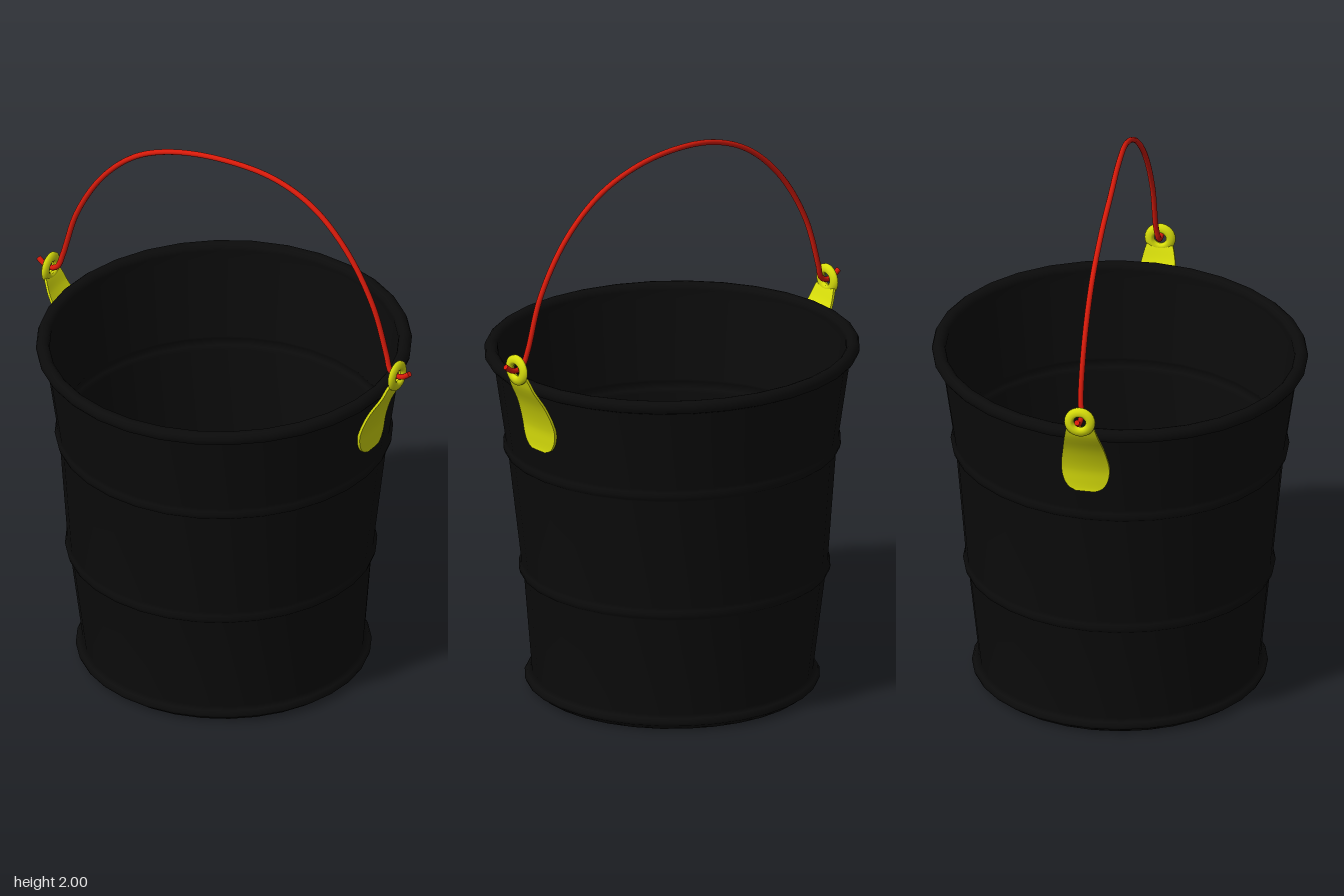
import * as THREE from 'three';

const material = (color) => new THREE.MeshStandardMaterial({ color, side: THREE.DoubleSide });

function part(name, geometry, mat) {
  const mesh = new THREE.Mesh(geometry, mat);
  mesh.name = name;
  return mesh;
}

// Move every vertex of a geometry by a rule
function deform(geometry, rule) {
  const p = geometry.attributes.position, v = new THREE.Vector3();
  for (let i = 0; i < p.count; i++) {
    rule(v.fromBufferAttribute(p, i));
    p.setXYZ(i, v.x, v.y, v.z);
  }
  return geometry;
}

// Slight dents of the hand-made bucket: a tilted rim and an off-centre waist
function dent(v) {
  const bump = Math.exp(-(((v.y - 0.42) / 0.25) ** 2));
  v.x -= 0.012 * bump;
  v.y -= 0.022 * v.z * Math.max(0, v.y - 0.05) / 1.2;
}

// Thin sheet wall with two embossed hoops, a foot bead and a rolled rim
function bucketGeometry() {
  const wall = [[0.495, 0.055]];
  const hoop = (r0, r1, y) => wall.push(
    [r0 - 0.003, y - 0.024], [(r0 + r1) / 2 + 0.009, y - 0.014], [(r0 + r1) / 2 + 0.013, y],
    [(r0 + r1) / 2 + 0.009, y + 0.014], [r1 + 0.003, y + 0.024]);
  hoop(0.535, 0.537, 0.44);
  hoop(0.581, 0.583, 0.9);
  wall.push([0.628, 1.215]);

  const foot = [[0, 0.005], [0.45, 0.005], [0.488, 0], [0.5, 0.012], [0.515, 0.02], [0.52, 0.032], [0.512, 0.046]];
  const rim = [];
  for (let i = 0; i <= 10; i++) {
    const a = -Math.PI * 0.6 + (i / 10) * Math.PI * 1.6;
    rim.push([0.637 + 0.024 * Math.cos(a), 1.248 + 0.024 * Math.sin(a)]);
  }
  const inner = wall.map(([r, y]) => [r - 0.012, y]).reverse();
  const floor = [[0.478, 0.035], [0, 0.03]];
  const profile = [...foot, ...wall, ...rim, ...inner, ...floor].map(([r, y]) => new THREE.Vector2(r, y));
  return deform(new THREE.LatheGeometry(profile, 32), dent);
}

// Curved ear: points hold (distance from axis, height, half width)
function bladeGeometry() {
  const spine = new THREE.CatmullRomCurve3([
    [0.61, 1.01, 0.035], [0.609, 1.022, 0.06], [0.61, 1.05, 0.078], [0.615, 1.1, 0.086],
    [0.645, 1.185, 0.075], [0.688, 1.26, 0.06], [0.703, 1.296, 0.052], [0.71, 1.312, 0.047],
  ].map((p) => new THREE.Vector3(...p)));
  const s = new THREE.Vector3();
  const g = deform(new THREE.BoxGeometry(0.01, 1, 2, 1, 28, 8), (v) => {
    spine.getPoint(v.y + 0.5, s);
    const z = v.z * s.z;
    v.set(s.x + v.x - z * z * 0.8, s.y, z);
  });
  g.computeVertexNormals();
  return g;
}

// Rounded eyelet through which the handle is hooked
function eyeletGeometry() {
  const profile = [[0.021, 0], [0.024, 0.01], [0.033, 0.014], [0.045, 0.011], [0.055, 0.004],
    [0.055, -0.004], [0.045, -0.011], [0.033, -0.014], [0.024, -0.01], [0.021, 0]]
    .reverse().map(([r, y]) => new THREE.Vector2(r, y));
  return new THREE.LatheGeometry(profile, 28).rotateZ(-Math.PI / 2).translate(0.714, 1.335, 0);
}

// Bent wire with a small hook at each end
function handleGeometry() {
  const half = [[0.765, 1.358], [0.738, 1.338], [0.71, 1.333], [0.685, 1.347], [0.667, 1.4],
    [0.61, 1.585], [0.5, 1.77], [0.36, 1.9], [0.2, 1.968]];
  const sway = (x) => (Math.abs(x) > 0.68 ? 0 : -0.006 - 0.016 * Math.sin(x * 5) * (1 - (x / 0.7) ** 2));
  const points = [
    ...half.map(([x, y]) => [-x, y]), [0, 1.99], ...half.slice().reverse(),
  ].map(([x, y]) => new THREE.Vector3(x, y, sway(x)));
  const curve = new THREE.CatmullRomCurve3(points);
  const wire = new THREE.TubeGeometry(curve, 140, 0.01, 10);
  const caps = [0, 1].map((t) => {
    const dir = curve.getTangentAt(t).multiplyScalar(t ? 1 : -1);
    const cap = new THREE.CircleGeometry(0.01, 10);
    cap.applyQuaternion(new THREE.Quaternion().setFromUnitVectors(new THREE.Vector3(0, 0, 1), dir));
    const end = curve.getPointAt(t);
    return cap.translate(end.x, end.y, end.z);
  });
  return { wire, caps };
}

export function createModel() {
  const group = new THREE.Group();
  group.name = 'bucket';
  const black = material(0x0b0b0b), yellow = material(0xd8de0a), red = material(0xd81a0a);

  group.add(part('bucketBody', bucketGeometry(), black));

  // One ear on each side
  const blade = bladeGeometry(), eyelet = eyeletGeometry();
  for (const [name, turn] of [['leftEar', 0], ['rightEar', Math.PI]]) {
    const ear = new THREE.Group();
    ear.name = name;
    ear.add(part('earBlade', blade, yellow), part('earEyelet', eyelet, yellow));
    ear.rotation.y = turn;
    group.add(ear);
  }

  const { wire, caps } = handleGeometry();
  const handle = new THREE.Group();
  handle.name = 'handle';
  handle.add(part('handleWire', wire, red), ...caps.map((c) => part('wireEnd', c, red)));
  group.add(handle);
  return group;
}
